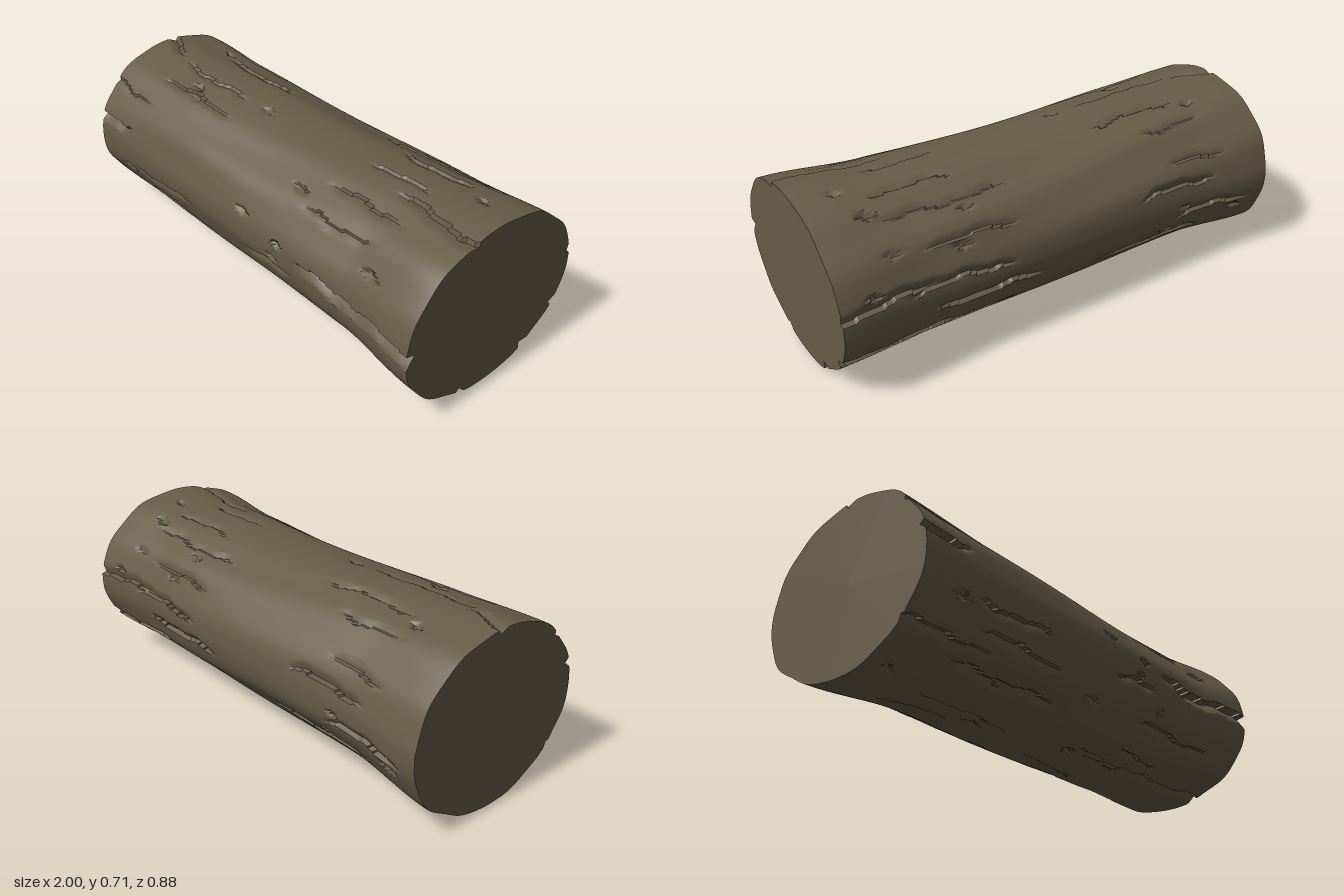
import * as THREE from 'three';
import { toCreasedNormals } from 'three/addons/utils/BufferGeometryUtils.js';

const ROWS = 160, SIDES = 240;

// Outline along the log: x, top, bottom, front z, back z
const OUTLINE = [
  [-1, 0.712, 0, 0.385, -0.44], [-0.6, 0.695, 0.03, 0.382, -0.415],
  [0.1, 0.678, 0.033, 0.388, -0.42], [0.6, 0.688, 0.023, 0.39, -0.416], [1, 0.706, 0.012, 0.438, -0.438],
];

// Main bark cracks: start x, end x, start angle, end angle (0 front, 90 top), depth
const MAIN_CRACKS = [
  [0.35, 1.3, 5, 2, 0.04], [-1.15, -0.76, 22, 15, 0.03], [-0.7, -0.2, -29, -28, 0.016],
  [-1.15, -0.8, 99, 85, 0.02], [0.56, 1.2, 77, 71, 0.02], [0.5, 1.2, 171, 174, 0.022],
  [0.4, 1.2, 212, 214, 0.03], [0.2, 1.2, 239, 243, 0.032], [0.1, 1.2, 288, 291, 0.026],
];

// Small seeded generator for the minor cracks and chips
let seed = 7;
const random = (low, high) => {
  seed = (seed * 16807) % 2147483647;
  return low + ((high - low) * seed) / 2147483647;
};

const cracks = MAIN_CRACKS.map(([x0, x1, a0, a1, depth]) => ({ x0, x1, a0, a1, depth, width: depth > 0.035 ? 9 : 6.5 }));
// Minor cracks: two or so per strip of bark, deeper underneath
for (let a = 40; a < 360; a += 22) {
  for (const start of [-1.1, 0]) {
    const x0 = start + random(0, 0.4), a0 = a + random(-4, 4);
    cracks.push({
      x0, x1: x0 + random(0.3, 0.65), a0, a1: a0 + random(-4, 4),
      depth: a > 170 ? 0.019 : 0.012, width: a > 170 ? 6 : 4.5,
    });
  }
}
// Small chips, staggered around the log
const chips = Array.from({ length: 28 }, (_, n) => ({
  x: random(-0.95, 0.95), a: n * 137.5 + 8, depth: random(0.013, 0.023), length: random(0.04, 0.07),
}));

const smooth = (t) => t * t * (3 - 2 * t);
const wrap = (deg) => ((((deg + 180) % 360) + 360) % 360) - 180;

function outlineAt(x) {
  let k = 0;
  while (k < OUTLINE.length - 2 && x > OUTLINE[k + 1][0]) k++;
  const a = OUTLINE[k], b = OUTLINE[k + 1];
  const t = smooth((x - a[0]) / (b[0] - a[0]));
  return a.map((v, i) => v + (b[i] - v) * t);
}

// How far the bark is cut inward at a point
function cutDepth(x, deg) {
  let cut = 0;
  cracks.forEach(({ x0, x1, a0, a1, depth, width }, n) => {
    const t = (x - x0) / (x1 - x0);
    if (t <= 0 || t >= 1) return;
    const wobble = 1.3 * Math.sin(x * 17 + n * 2.1) + 0.7 * Math.sin(x * 41 + n);
    const taper = Math.min(1, 5 * t, 5 * (1 - t));
    const s = wrap(a0 + (a1 - a0) * t + wobble - deg) / (width * (0.5 + 0.5 * taper));
    // steep upper lip, gentle slope away from it
    if (s > 0 && s < 1) cut = Math.max(cut, depth * taper * (1 - s));
  });
  for (const chip of chips) {
    const dx = (x - chip.x) / chip.length;
    const da = wrap(deg - chip.a) / 3.5 + dx * 0.4;
    const d = Math.abs(dx) + Math.abs(da);
    if (d < 1) cut = Math.max(cut, chip.depth * Math.min(1, (1 - d) * 2) * (0.65 + 0.35 * da));
  }
  return cut;
}

function barkPoint(x, deg) {
  const [, top, bottom, front, back] = outlineAt(x);
  const a = THREE.MathUtils.degToRad(deg);
  const lump = 0.004 * (Math.sin(5 * a + 4 * x) + Math.sin(11 * a - 3 * x + 1)) * Math.abs(Math.sin(2 * a));
  const ry = (top - bottom) / 2, rz = (front - back) / 2;
  const offset = lump - cutDepth(x, deg);
  return [x, (top + bottom) / 2 + (ry + offset) * Math.sin(a), (front + back) / 2 + (rz + offset) * Math.cos(a)];
}

function makeGeometry(positions, index) {
  const g = new THREE.BufferGeometry();
  g.setAttribute('position', new THREE.Float32BufferAttribute(positions, 3));
  g.setIndex(index);
  return g;
}

const ring = (x) => Array.from({ length: SIDES }, (_, j) => barkPoint(x, (j * 360) / SIDES));

// Bark surface lofted from rings
function barkGeometry() {
  const positions = [], index = [];
  for (let i = 0; i <= ROWS; i++) {
    for (const p of ring(-1 + (2 * i) / ROWS)) positions.push(...p);
    if (i === ROWS) break;
    for (let j = 0; j < SIDES; j++) {
      const k = (j + 1) % SIDES;
      const a = i * SIDES + j, b = a + SIDES, c = (i + 1) * SIDES + k, d = i * SIDES + k;
      index.push(a, b, c, a, c, d);
    }
  }
  return toCreasedNormals(makeGeometry(positions, index), 0.6);
}

// Flat sawn end that follows the bark edge
function endGeometry(x) {
  const positions = [x, 0.355, 0], index = [];
  for (const p of ring(x)) positions.push(...p);
  for (let j = 0; j < SIDES; j++) {
    const a = j + 1, b = ((j + 1) % SIDES) + 1;
    index.push(0, ...(x > 0 ? [b, a] : [a, b]));
  }
  const g = makeGeometry(positions, index);
  g.computeVertexNormals();
  return g;
}

export function createModel() {
  const log = new THREE.Group();
  log.name = 'log';
  const wood = new THREE.MeshStandardMaterial({ color: 0x665c48 });
  wood.name = 'brown wood';
  const add = (name, geometry) => {
    const mesh = new THREE.Mesh(geometry, wood);
    mesh.name = name;
    log.add(mesh);
  };
  add('bark', barkGeometry());
  add('leftEnd', endGeometry(1));
  add('rightEnd', endGeometry(-1));
  return log;
}
